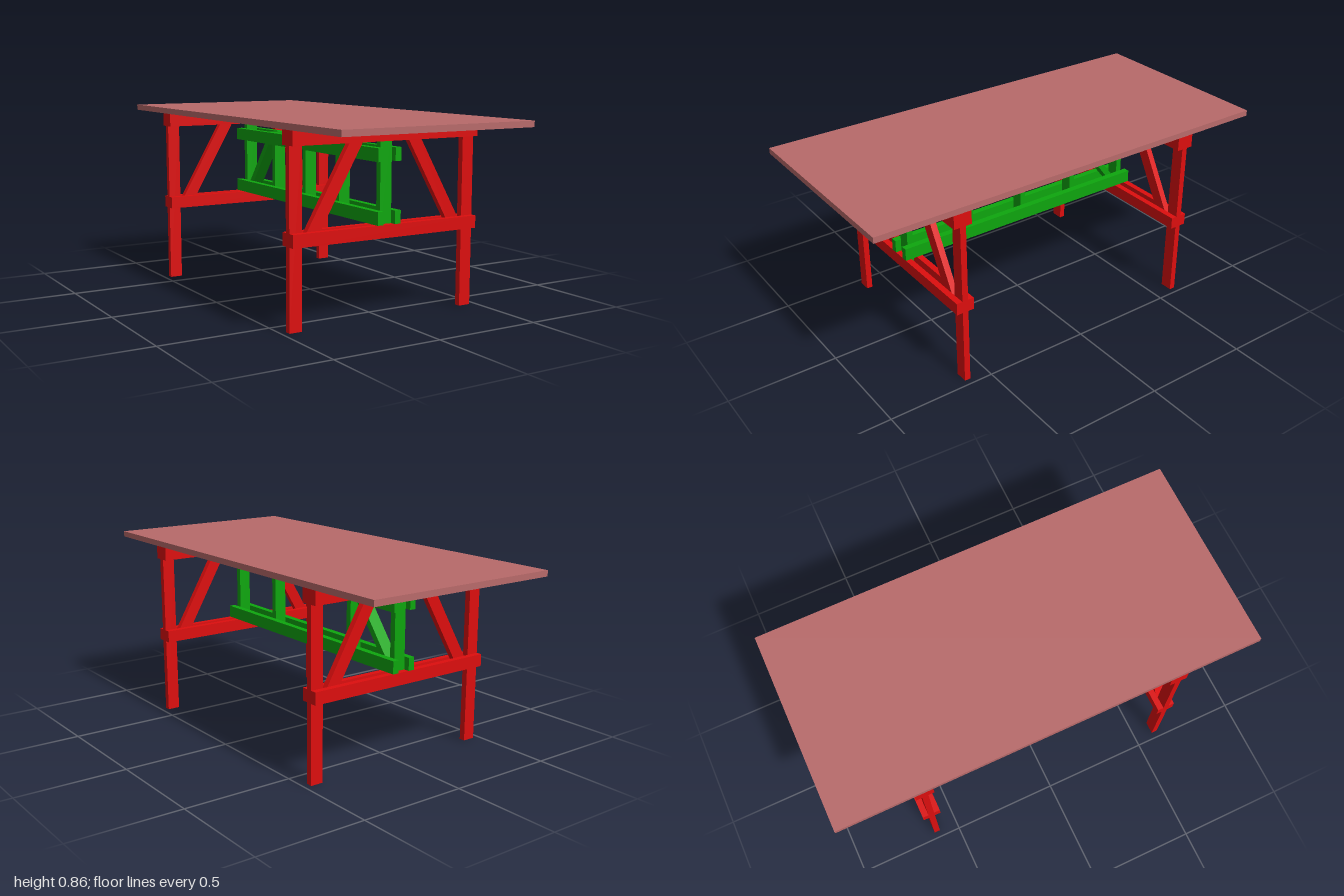
import * as THREE from 'three';

const topMat = new THREE.MeshStandardMaterial({ color: 0xb86a6a });
const red = new THREE.MeshStandardMaterial({ color: 0xdd0e0e });
const green = new THREE.MeshStandardMaterial({ color: 0x0ea60e });

const T = 0.028; // board thickness
const FRAME_Z = 0.604; // centre of each trestle
const HALF = 0.47; // half the table width
const LOW = 0.356, HIGH = 0.828; // bottom of lower rail, underside of top

// Box given by its extents on each axis
function board(name, mat, [x0, x1], [y0, y1], [z0, z1]) {
  const mesh = new THREE.Mesh(new THREE.BoxGeometry(x1 - x0, y1 - y0, z1 - z0), mat);
  mesh.position.set((x0 + x1) / 2, (y0 + y1) / 2, (z0 + z1) / 2);
  mesh.name = name;
  return mesh;
}

// Slanted board with level ends, starting at (a0, y0) and rising to (a1, y1)
function slantedBoard(name, mat, a0, y0, a1, y1, width, depth) {
  const shape = new THREE.Shape([
    new THREE.Vector2(a0, y0), new THREE.Vector2(a0 + width, y0),
    new THREE.Vector2(a1 + width, y1), new THREE.Vector2(a1, y1),
  ]);
  const geo = new THREE.ExtrudeGeometry(shape, { depth, bevelEnabled: false });
  geo.translate(0, 0, -depth / 2);
  const mesh = new THREE.Mesh(geo, mat);
  mesh.name = name;
  return mesh;
}

// End frame: two legs and two braces clamped between paired rails
function createTrestle() {
  const g = new THREE.Group();
  g.name = 'trestle';
  const core = [-T / 2, T / 2];
  for (const s of [-1, 1]) {
    const legX = s > 0 ? [0.411, HALF] : [-HALF, -0.411];
    g.add(board('leg', red, legX, [0, HIGH], core));
    const a0 = s > 0 ? 0.354 : -0.42;
    const a1 = s > 0 ? 0.081 : -0.147;
    g.add(slantedBoard('legBrace', red, a0, LOW, a1, HIGH, 0.066, T));
    const railZ = s > 0 ? [T / 2, T * 1.5] : [-T * 1.5, -T / 2];
    g.add(board('upperRail', red, [-HALF, HALF], [0.766, HIGH], railZ));
    g.add(board('lowerRail', red, [-HALF, HALF], [LOW, 0.412], railZ));
  }
  return g;
}

// Lengthwise truss: paired beams around upright posts
function createStretcher() {
  const g = new THREE.Group();
  g.name = 'stretcher';
  const end = FRAME_Z + T * 1.5;
  for (const s of [-1, 1]) {
    const beamX = s > 0 ? [0.029, 0.059] : [-0.059, -0.029];
    g.add(board('upperBeam', green, beamX, [0.68, 0.738], [-end, end]));
    g.add(board('lowerBeam', green, beamX, [0.412, 0.47], [-end, end]));
    const z = s * FRAME_Z;
    g.add(board('endPost', green, [-0.029, 0.029], [LOW, HIGH], [z - T / 2, z + T / 2]));
  }
  for (const z of [0.283, -0.011, -0.305]) {
    g.add(board('post', green, [-0.029, 0.029], [0.412, 0.738], [z - T / 2, z + T / 2]));
  }
  // Single diagonal at the back bay; turned so its profile lies along z
  const brace = slantedBoard('diagonalBrace', green, 0.565, 0.412, 0.31, 0.738, 0.036, 0.058);
  brace.rotation.y = Math.PI / 2;
  g.add(brace);
  return g;
}

export function createModel() {
  const model = new THREE.Group();
  model.name = 'trestleTable';
  model.add(board('tableTop', topMat, [-HALF, HALF], [HIGH, 0.855], [-1, 1]));
  for (const s of [-1, 1]) {
    const trestle = createTrestle();
    trestle.position.z = s * FRAME_Z;
    model.add(trestle);
  }
  model.add(createStretcher());
  return model;
}
